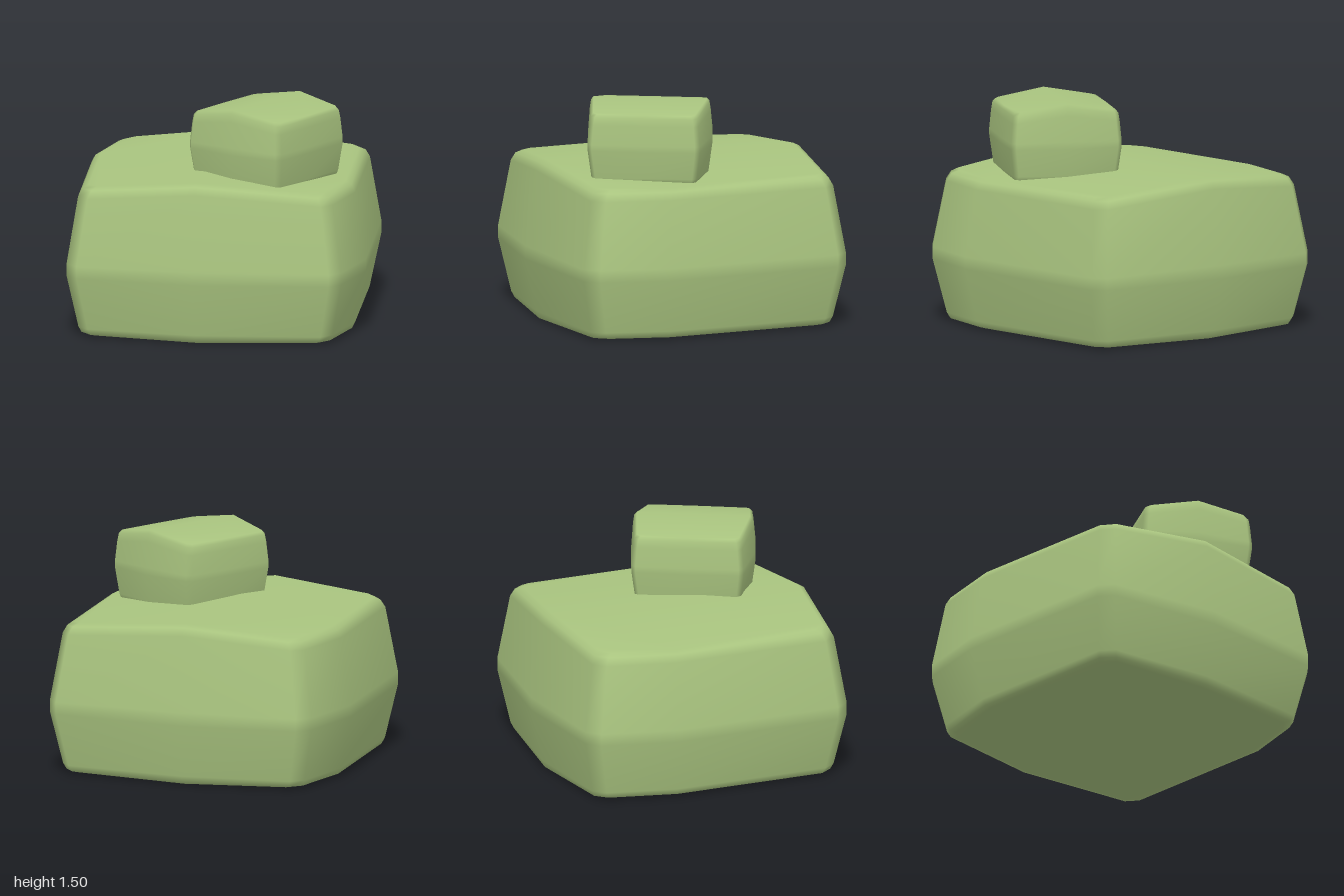
import * as THREE from 'three';

const material = new THREE.MeshStandardMaterial({ color: 0xa9c47f });

// Soft bulging block: one plan outline stacked in scaled rings, closed by a ridged top.
// outline: 12 [x, z] points; 1 and 7 are the ridge ends, 4 and 10 the side bulges.
// rings: [y, scale, lift], bottom to top; lift raises the middle into a ridge.
function block(name, outline, rings, eaveX) {
  const n = outline.length;
  const positions = [];
  const indices = [];
  for (const [y, s, lift] of rings) {
    for (const [x, z] of outline) {
      const rise = Math.max(0, 1 - Math.abs(x * s) / eaveX);
      positions.push(x * s, y + lift * rise, z * s);
    }
  }
  // walls
  for (let r = 0; r < rings.length - 1; r++) {
    for (let i = 0; i < n; i++) {
      const a = r * n + i, b = r * n + (i + 1) % n;
      indices.push(a, a + n, b, b, a + n, b + n);
    }
  }
  // top and bottom, each fanned in two halves that meet along the ridge
  const top = (rings.length - 1) * n;
  for (const [hub, first] of [[4, 1], [10, 7]]) {
    for (let k = 0; k < 6; k++) {
      const a = (first + k) % n, b = (first + k + 1) % n;
      if (a === hub || b === hub) continue;
      indices.push(top + hub, top + b, top + a, hub, a, b);
    }
    const far = (first + 6) % n;
    indices.push(top + hub, top + first, top + far, hub, far, first);
  }
  const geometry = new THREE.BufferGeometry();
  geometry.setAttribute('position', new THREE.Float32BufferAttribute(positions, 3));
  geometry.setIndex(indices);
  geometry.computeVertexNormals();
  const mesh = new THREE.Mesh(geometry, material);
  mesh.name = name;
  return mesh;
}

export function createModel() {
  const group = new THREE.Group();
  group.name = 'stackedBlocks';

  // large lower block
  group.add(block('largeBlock', [
    [-0.83, -0.91], [-0.05, -1], [0.84, -0.91], [0.91, -0.83],
    [1, 0.37], [0.91, 0.82], [0.84, 0.91], [-0.05, 1],
    [-0.83, 0.91], [-0.91, 0.82], [-1, -0.33], [-0.91, -0.83],
  ], [
    [0.01, 0.87, -0.01], [0.02, 0.905, -0.01], [0.06, 0.925, 0],
    [0.41, 1, 0], [0.49, 1, 0.01],
    [0.93, 0.927, 0.07], [0.98, 0.9, 0.07], [1, 0.86, 0.07],
  ], 0.78));

  // small upper block, turned and set into the top
  const small = block('smallBlock', [
    [-0.34, -0.37], [0, -0.41], [0.34, -0.37], [0.37, -0.34],
    [0.375, 0], [0.37, 0.34], [0.34, 0.37], [0, 0.41],
    [-0.34, 0.37], [-0.37, 0.34], [-0.375, 0], [-0.37, -0.34],
  ], [
    [0.98, 0.9, 0], [1.03, 0.94, 0],
    [1.21, 1, 0], [1.25, 1, 0.01],
    [1.38, 0.97, 0.05], [1.43, 0.95, 0.055], [1.45, 0.91, 0.055],
  ], 0.34);
  small.position.set(0.325, 0, 0.267);
  small.rotation.y = -0.467;
  group.add(small);

  return group;
}
